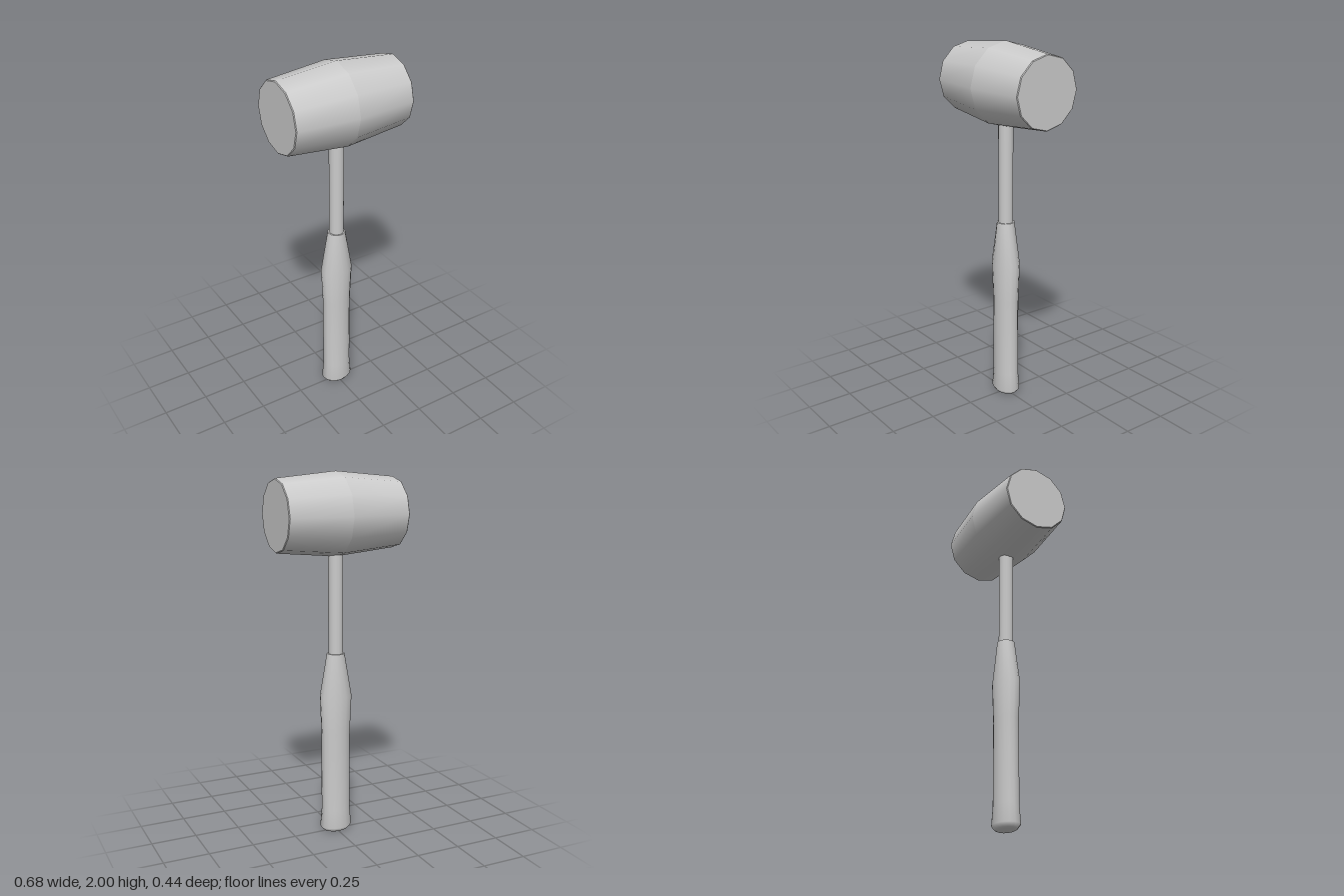
import * as THREE from 'three';
import { mergeGeometries, mergeVertices } from 'three/addons/utils/BufferGeometryUtils.js';

const material = new THREE.MeshStandardMaterial({ color: 0xcccccc });

// Lathe made of separate runs of [radius, height]; edges between runs stay sharp.
function turned(runs, sides) {
  return mergeGeometries(runs.map((run) =>
    new THREE.LatheGeometry(run.map(([r, y]) => new THREE.Vector2(r, y)), sides)));
}

function part(name, geometry) {
  const mesh = new THREE.Mesh(geometry, material);
  mesh.name = name;
  return mesh;
}

// Turned shape squeezed in z by a rule, with smooth normals over the seam.
function squeezed(profile, sides, ratioAt) {
  const lathe = turned([profile], sides);
  const pos = lathe.attributes.position;
  for (let i = 0; i < pos.count; i++) pos.setZ(i, pos.getZ(i) * ratioAt(pos.getY(i)));
  lathe.deleteAttribute('normal');
  lathe.deleteAttribute('uv');
  const geometry = mergeVertices(lathe, 1e-5);
  geometry.computeVertexNormals();
  return geometry;
}

export function createModel() {
  const group = new THREE.Group();

  // Twelve-sided barrel head, widest at the middle, lying along x
  const head = part('head', turned([
    [[0, -0.34], [0.186, -0.34]],
    [[0.186, -0.34], [0.19, -0.336]],
    [[0.19, -0.336], [0.222, 0]],
    [[0.222, 0], [0.19, 0.336]],
    [[0.19, 0.336], [0.186, 0.34]],
    [[0.186, 0.34], [0, 0.34]],
  ], 12));
  head.rotation.z = Math.PI / 2;
  head.position.y = 1.778;
  group.add(head);

  // Round shaft from the grip into the head
  group.add(part('shaft', turned([[[0.04, 1.0], [0.04, 1.7]]], 16)));

  // Oval grip that becomes round at its neck
  const gripRatio = (y) => THREE.MathUtils.lerp(0.76, 1, THREE.MathUtils.clamp((y - 0.79) / 0.24, 0, 1));
  group.add(part('grip', squeezed([
    [0, 0], [0.055, 0], [0.072, 0.007], [0.091, 0.028], [0.082, 0.13],
    [0.082, 0.58], [0.091, 0.79], [0.048, 1.03],
  ], 16, gripRatio)));

  // Flat collar closing the top of the grip
  group.add(part('gripCollar', turned([[[0.048, 1.03], [0.038, 1.03]]], 16)));

  return group;
}
